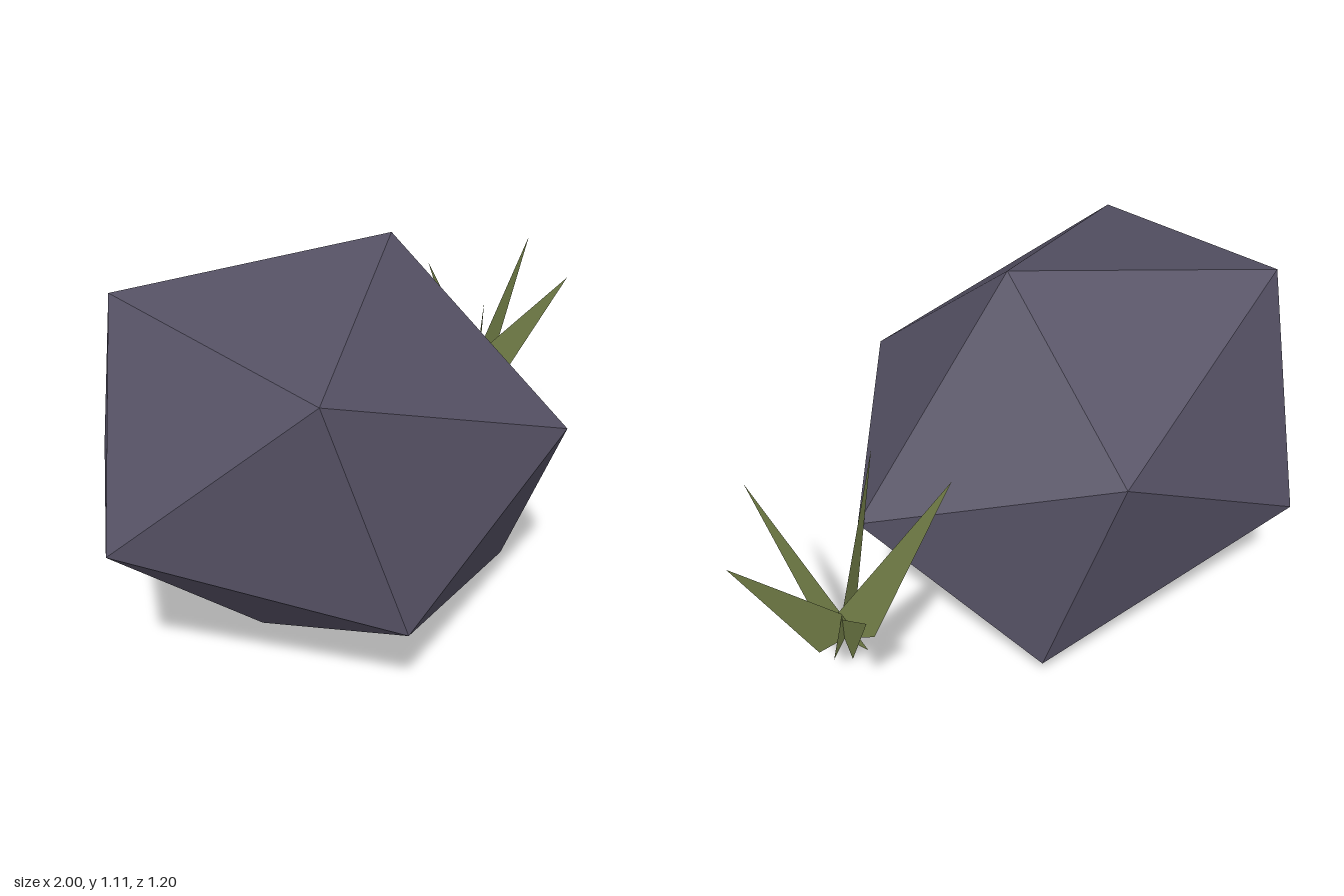
import * as THREE from 'three';
import { ConvexGeometry } from 'three/addons/geometries/ConvexGeometry.js';

const stone = new THREE.MeshStandardMaterial({ color: 0x545063 });
stone.name = 'slate stone';
stone.flatShading = true;
const green = new THREE.MeshStandardMaterial({ color: 0x737f48 });
green.name = 'olive grass';
green.side = THREE.DoubleSide;

// Boulder: a stretched, tilted twenty-sided solid, symmetric through its centre
function makeBoulder() {
  const halfAxes = [
    [0.773, 0.002, 0.028],
    [0.208, 0.557, 0.072],
    [0.288, 0.104, 0.602],
    [0.323, 0.237, -0.54],
    [-0.467, 0.412, 0.39],
    [-0.445, 0.495, -0.32],
  ];
  const corners = [];
  for (const a of halfAxes) {
    const v = new THREE.Vector3(...a);
    corners.push(v, v.clone().negate());
  }
  const boulder = new THREE.Mesh(new ConvexGeometry(corners), stone);
  boulder.name = 'boulder';
  boulder.position.set(-0.228, 0.562, 0);
  return boulder;
}

// Grass tuft: five upright flat blades crossing at the centre and leaning outward
function makeTuft() {
  const tuft = new THREE.Group();
  tuft.name = 'grassTuft';
  tuft.position.set(0.704, 0.34, -0.113);
  const halfBase = 0.08;
  const blades = [ // [reach, height]
    [0.293, 0.427],
    [0.287, 0.41],
    [0.303, 0.417],
    [0.304, 0.525],
    [0.29, 0.328],
  ];
  blades.forEach(([reach, height], i) => {
    const shape = new THREE.Shape([
      new THREE.Vector2(-halfBase, 0),
      new THREE.Vector2(halfBase, 0),
      new THREE.Vector2(reach, height),
    ]);
    const blade = new THREE.Mesh(new THREE.ShapeGeometry(shape), green);
    blade.name = 'grassBlade' + (i + 1);
    blade.rotation.y = -i * Math.PI * 2 / blades.length;
    tuft.add(blade);
  });
  return tuft;
}

export function createModel() {
  const model = new THREE.Group();
  model.name = 'boulderWithGrass';
  model.add(makeBoulder(), makeTuft());
  return model;
}
